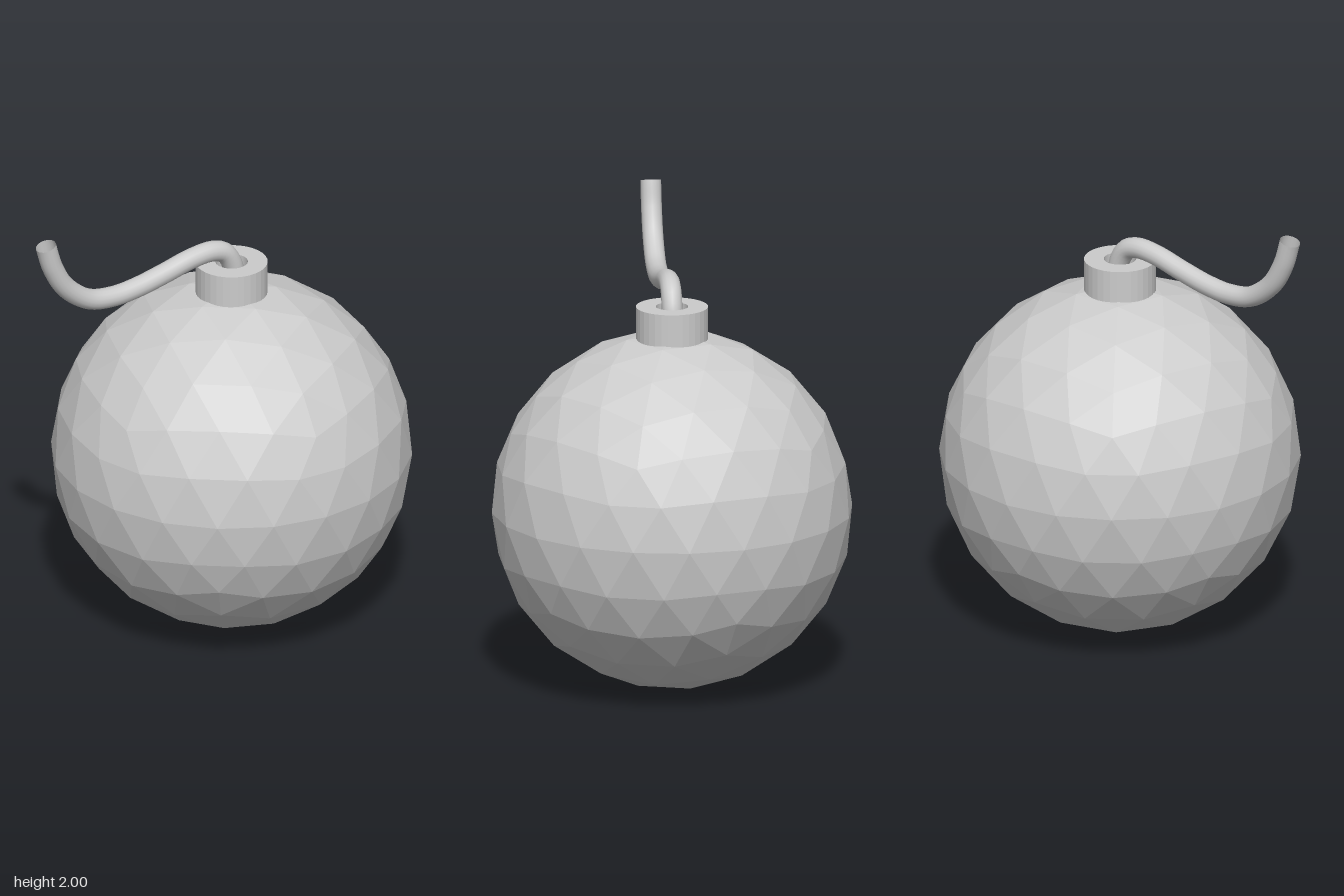
import * as THREE from 'three';

const CENTER_X = 0.1;

function addPart(group, name, geometry, options = {}) {
  const mesh = new THREE.Mesh(geometry, new THREE.MeshStandardMaterial({ color: 0xcccccc, ...options }));
  mesh.name = name;
  group.add(mesh);
  return mesh;
}

export function createModel() {
  const group = new THREE.Group();
  group.name = 'roundBomb';

  // Faceted ball, turned so that one corner points straight up
  const ball = new THREE.IcosahedronGeometry(0.777, 3);
  ball.rotateX(-Math.atan((1 + Math.sqrt(5)) / 2));
  addPart(group, 'body', ball, { flatShading: true }).position.set(CENTER_X, 0.779, 0);

  // Ring-shaped collar around the fuse hole
  const collarProfile = [[0.07, 1.53], [0.155, 1.53], [0.155, 1.675], [0.07, 1.675], [0.07, 1.53]]
    .map(([r, y]) => new THREE.Vector2(r, y));
  addPart(group, 'collar', new THREE.LatheGeometry(collarProfile, 32), { flatShading: true })
    .position.x = CENTER_X;

  // Curved fuse with an open tip
  const fusePath = new THREE.CatmullRomCurve3([
    [0.115, 1.54], [0.112, 1.62], [0.096, 1.68], [0.06, 1.73], [0, 1.75], [-0.1, 1.742],
    [-0.24, 1.706], [-0.38, 1.675], [-0.5, 1.664], [-0.62, 1.684], [-0.735, 1.77],
    [-0.8, 1.88], [-0.835, 1.993],
  ].map(([x, y]) => new THREE.Vector3(x, y, 0)));
  addPart(group, 'fuse', new THREE.TubeGeometry(fusePath, 64, 0.045, 16), { side: THREE.DoubleSide });

  return group;
}
